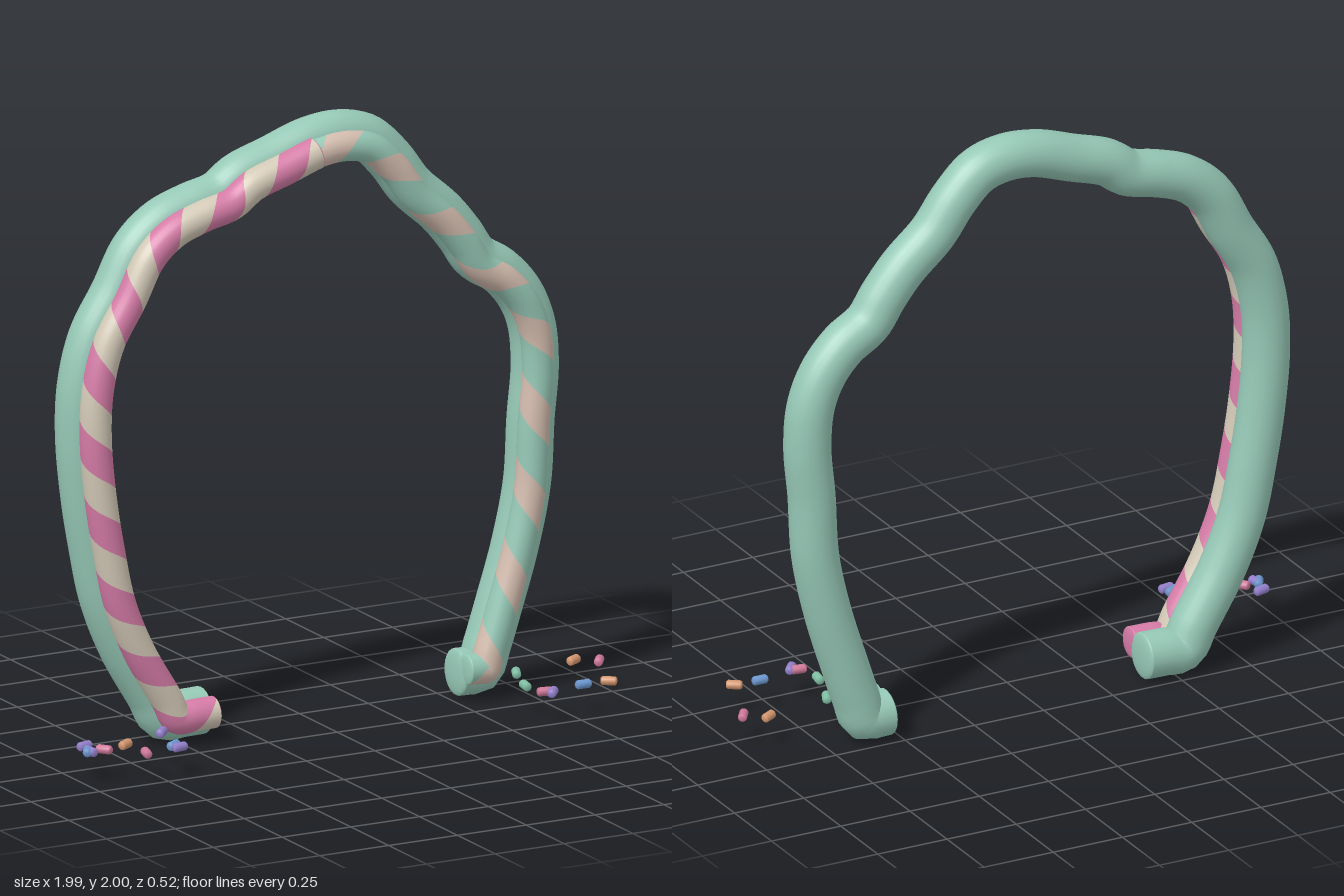
import * as THREE from 'three';
import { mergeGeometries } from 'three/addons/utils/BufferGeometryUtils.js';

const mat = (name, color) => {
  const m = new THREE.MeshStandardMaterial({ color });
  m.name = name;
  return m;
};

// Centre line of the arch, from the left foot in the front to the right foot
const PATH = [
  [-0.395, 0.083], [-0.46, 0.082], [-0.535, 0.083], [-0.58, 0.16], [-0.68, 0.33], [-0.75, 0.5], [-0.79, 0.68],
  [-0.82, 0.86], [-0.838, 1.06], [-0.83, 1.22], [-0.79, 1.37], [-0.71, 1.505], [-0.635, 1.64],
  [-0.545, 1.715], [-0.435, 1.755], [-0.335, 1.78], [-0.26, 1.83], [-0.14, 1.87], [0, 1.915],
  [0.11, 1.922], [0.205, 1.895], [0.29, 1.815], [0.365, 1.715], [0.475, 1.615], [0.545, 1.53],
  [0.6, 1.45], [0.69, 1.39], [0.763, 1.305], [0.806, 1.2], [0.818, 1.06], [0.803, 0.89],
  [0.79, 0.68], [0.747, 0.48], [0.685, 0.28], [0.645, 0.16], [0.615, 0.083], [0.575, 0.082], [0.535, 0.083],
];
const curve = new THREE.CatmullRomCurve3(PATH.map(([x, y]) => new THREE.Vector3(x, y, 0)));
curve.arcLengthDivisions = 1500;
const LENGTH = curve.getLength();
const FORWARD = new THREE.Vector3(0, 0, 1);

// Point, tangent and inward normal at arc length s
function frame(s, inset, z) {
  const u = THREE.MathUtils.clamp(s / LENGTH, 0, 1);
  const t = curve.getTangentAt(u);
  const n = new THREE.Vector3().crossVectors(t, FORWARD).normalize();
  const p = curve.getPointAt(u).addScaledVector(n, inset);
  p.z = z;
  return { p, t, n };
}

// Tube surface between s0 and s1; twist shears it into a helical band, clipped to lo..hi
function band(o, s0, s1, twist, lo, hi) {
  const rows = Math.max(2, Math.ceil((s1 - s0) / 0.02)), sides = 24;
  const pos = [], nor = [], index = [];
  for (let i = 0; i <= rows; i++) {
    for (let j = 0; j <= sides; j++) {
      const a = (j / sides) * Math.PI * 2;
      const s = s0 + ((s1 - s0) * i) / rows + (twist * j) / sides;
      const { p, n } = frame(THREE.MathUtils.clamp(s, lo, hi), o.inset, o.z);
      const d = n.multiplyScalar(Math.cos(a)).addScaledVector(FORWARD, Math.sin(a));
      p.addScaledVector(d, o.radius);
      pos.push(p.x, p.y, p.z);
      nor.push(d.x, d.y, d.z);
      if (i < rows && j < sides) {
        const k = i * (sides + 1) + j, m = k + sides + 1;
        index.push(k, m, k + 1, m, m + 1, k + 1);
      }
    }
  }
  const g = new THREE.BufferGeometry();
  g.setAttribute('position', new THREE.Float32BufferAttribute(pos, 3));
  g.setAttribute('normal', new THREE.Float32BufferAttribute(nor, 3));
  g.setIndex(index);
  return g;
}

// Shallow domed end cap
function cap(o, s, material, name) {
  const { p, t } = frame(s, o.inset, o.z);
  const mesh = new THREE.Mesh(new THREE.SphereGeometry(o.radius, 24, 12), material);
  mesh.scale.set(1, 1, 0.2);
  mesh.position.copy(p);
  mesh.lookAt(p.clone().add(t));
  mesh.name = name;
  return mesh;
}

// Tube wound with two alternating helical stripes
function stripedTube(name, o, lo, hi, period, phase, share, matA, matB) {
  const group = new THREE.Group();
  group.name = name;
  const parts = [[], []];
  for (let s = lo + phase - 2 * period; s < hi; s += period) {
    [[s, s + period * share], [s + period * share, s + period]].forEach(([a, b], k) => {
      if (b + period > lo) parts[k].push(band(o, a, b, period, lo, hi));
    });
  }
  [matA, matB].forEach((m, k) => {
    const mesh = new THREE.Mesh(mergeGeometries(parts[k]), m);
    mesh.name = name + (k ? 'LightStripe' : 'MainStripe');
    group.add(mesh);
  });
  group.add(cap(o, lo, matA, name + 'StartCap'), cap(o, hi, matA, name + 'EndCap'));
  return group;
}

export function createModel() {
  const model = new THREE.Group();
  model.name = 'candyArch';
  const mint = mat('mint', 0x96c8b6);
  const pink = mat('pink', 0xd47ba6);
  const cream = mat('cream', 0xd2c8b6);
  const blush = mat('blush', 0xd3bcae);
  const pills = {
    purple: mat('purple', 0x9480cc),
    blue: mat('blue', 0x6c98cf),
    orange: mat('orange', 0xd4966e),
    rose: mat('rose', 0xcf7898),
    green: mat('green', 0x80c0a4),
  };

  // Thick rear tube
  const rear = { radius: 0.077, inset: 0, z: -0.183 };
  const rearTube = new THREE.Mesh(band(rear, 0, LENGTH, 0, 0, LENGTH), mint);
  rearTube.name = 'rearTube';
  model.add(rearTube, cap(rear, 0, mint, 'rearStartCap'), cap(rear, LENGTH, mint, 'rearEndCap'));

  // Striped front tubes meet just beside the top of the arch
  let seam = LENGTH * 0.4;
  while (curve.getPointAt(seam / LENGTH).x < -0.03) seam += 0.005;
  model.add(
    stripedTube('pinkTube', { radius: 0.052, inset: 0.014, z: -0.099 }, 0, seam, 0.25, seam % 0.25, 0.5, pink, cream),
    stripedTube('mintTube', { radius: 0.051, inset: 0.023, z: -0.12 }, seam, LENGTH, 0.28, 0.05, 0.55, mint, blush),
  );

  // Scattered sweets: x, z, turn in degrees, colour
  const profile = [[0, -0.026], [0.01, -0.026], [0.015, -0.02], [0.015, 0.02], [0.01, 0.026], [0, 0.026]];
  const sweet = new THREE.LatheGeometry(profile.map(([x, y]) => new THREE.Vector2(x, y)), 12);
  sweet.rotateZ(-Math.PI / 2);
  const sweets = [
    [-0.953, 0.063, 15, 'purple'], [-0.975, 0.123, 60, 'blue'], [-0.968, 0.13, 100, 'purple'],
    [-0.918, 0.13, -55, 'rose'], [-0.83, 0.11, 30, 'orange'], [-0.82, 0.23, 75, 'rose'],
    [-0.66, 0.04, 45, 'purple'], [-0.7, 0.193, 30, 'blue'], [-0.693, 0.22, 10, 'purple'],
    [0.9, -0.075, 30, 'orange'], [0.968, -0.03, 55, 'rose'], [0.667, -0.03, 65, 'green'],
    [0.62, 0.115, 80, 'green'], [0.642, 0.207, -10, 'rose'], [0.66, 0.225, 50, 'purple'],
    [0.79, 0.19, 0, 'blue'], [0.88, 0.195, -35, 'orange'],
  ];
  const scatter = new THREE.Group();
  scatter.name = 'sweets';
  for (const [x, z, turn, color] of sweets) {
    const mesh = new THREE.Mesh(sweet, pills[color]);
    mesh.position.set(x, 0.1, z);
    mesh.rotation.y = THREE.MathUtils.degToRad(turn);
    mesh.name = color + 'Sweet';
    scatter.add(mesh);
  }
  model.add(scatter);
  return model;
}
